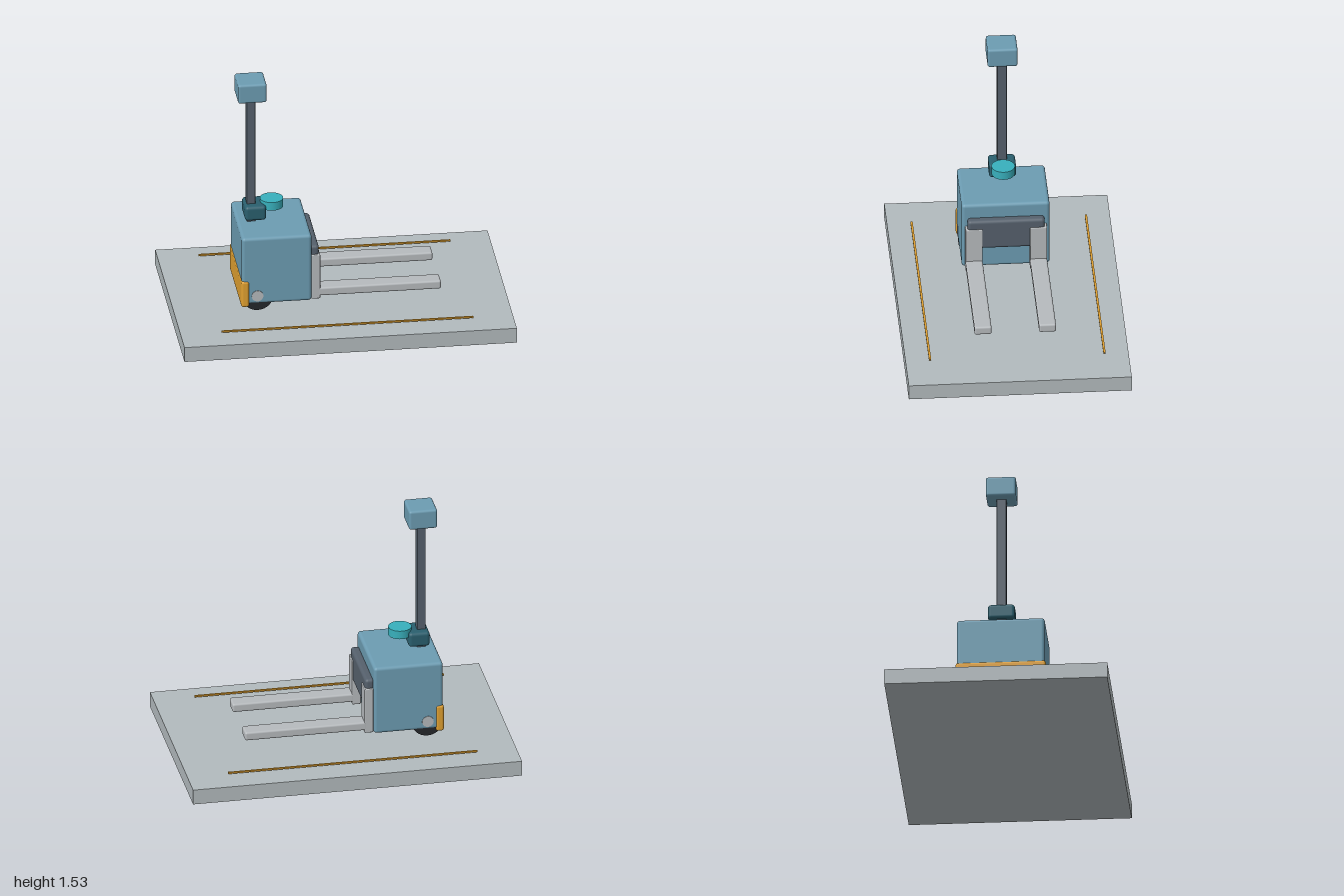
import * as THREE from 'three';
import { RoundedBoxGeometry } from 'three/addons/geometries/RoundedBoxGeometry.js';

const mat = (color) => new THREE.MeshStandardMaterial({ color });
const blue = mat(0x6c9cb2), slate = mat(0x55606c), teal = mat(0x2a5f6e), cyan = mat(0x38b0bc);
const amber = mat(0xe0a030), rubber = mat(0x24272b), steel = mat(0xb6babd), floor = mat(0xb2babd);

export function createModel() {
  const model = new THREE.Group();
  model.name = 'palletStacker';

  const add = (name, geometry, material, x, y, z) => {
    const mesh = new THREE.Mesh(geometry, material);
    mesh.name = name;
    mesh.position.set(x, y, z);
    model.add(mesh);
    return mesh;
  };
  // Box from its extents; r > 0 rounds the edges
  const box = (name, material, [x0, x1], [y0, y1], [z0, z1], r = 0) => {
    const size = [x1 - x0, y1 - y0, z1 - z0];
    const geometry = r ? new RoundedBoxGeometry(...size, 3, r) : new THREE.BoxGeometry(...size);
    return add(name, geometry, material, (x0 + x1) / 2, (y0 + y1) / 2, (z0 + z1) / 2);
  };
  // Cylinder lying along z
  const disc = (name, material, r, width, x, y, z) => {
    const geometry = new THREE.CylinderGeometry(r, r, width, 32).rotateX(Math.PI / 2);
    return add(name, geometry, material, x, y, z);
  };

  // Floor slab
  box('floorSlab', floor, [-1, 1], [0, 0.095], [-0.667, 0.667]);

  // Truck body, rear bumper and fork carriage
  box('body', blue, [-0.6, -0.18], [0.157, 0.593], [-0.263, 0.263], 0.02);
  box('rearBumper', amber, [-0.605, -0.557], [0.14, 0.31], [-0.27, 0.27], 0.015);
  box('carriage', slate, [-0.19, -0.132], [0.31, 0.505], [-0.231, 0.231], 0.02);

  // Control mast with collar and head
  box('mast', slate, [-0.54, -0.488], [0.58, 1.42], [-0.029, 0.029], 0.004);
  box('mastCollar', teal, [-0.557, -0.428], [0.617, 0.71], [-0.081, 0.081], 0.02);
  box('mastHead', blue, [-0.6, -0.428], [1.404, 1.528], [-0.09, 0.09], 0.015);

  // Beacon
  add('beacon', new THREE.CylinderGeometry(0.07, 0.07, 0.053, 32), cyan, -0.388, 0.702, 0);

  // Paired parts
  for (const [side, s] of [['Front', 1], ['Back', -1]]) {
    const span = (a, b) => (s > 0 ? [a, b] : [-b, -a]);
    box('floorLine' + side, amber, [-0.757, 0.757], [0.111, 0.12], span(0.515, 0.528));
    box('forkUpright' + side, steel, [-0.18, -0.126], [0.159, 0.449], span(0.142, 0.244), 0.006);
    box('fork' + side, steel, [-0.14, 0.6], [0.176, 0.23], span(0.142, 0.244), 0.012);
    disc('wheel' + side, rubber, 0.095, 0.065, -0.505, 0.21, s * 0.227);
    disc('wheelHub' + side, steel, 0.035, 0.07, -0.507, 0.21, s * 0.231);
  }
  return model;
}
